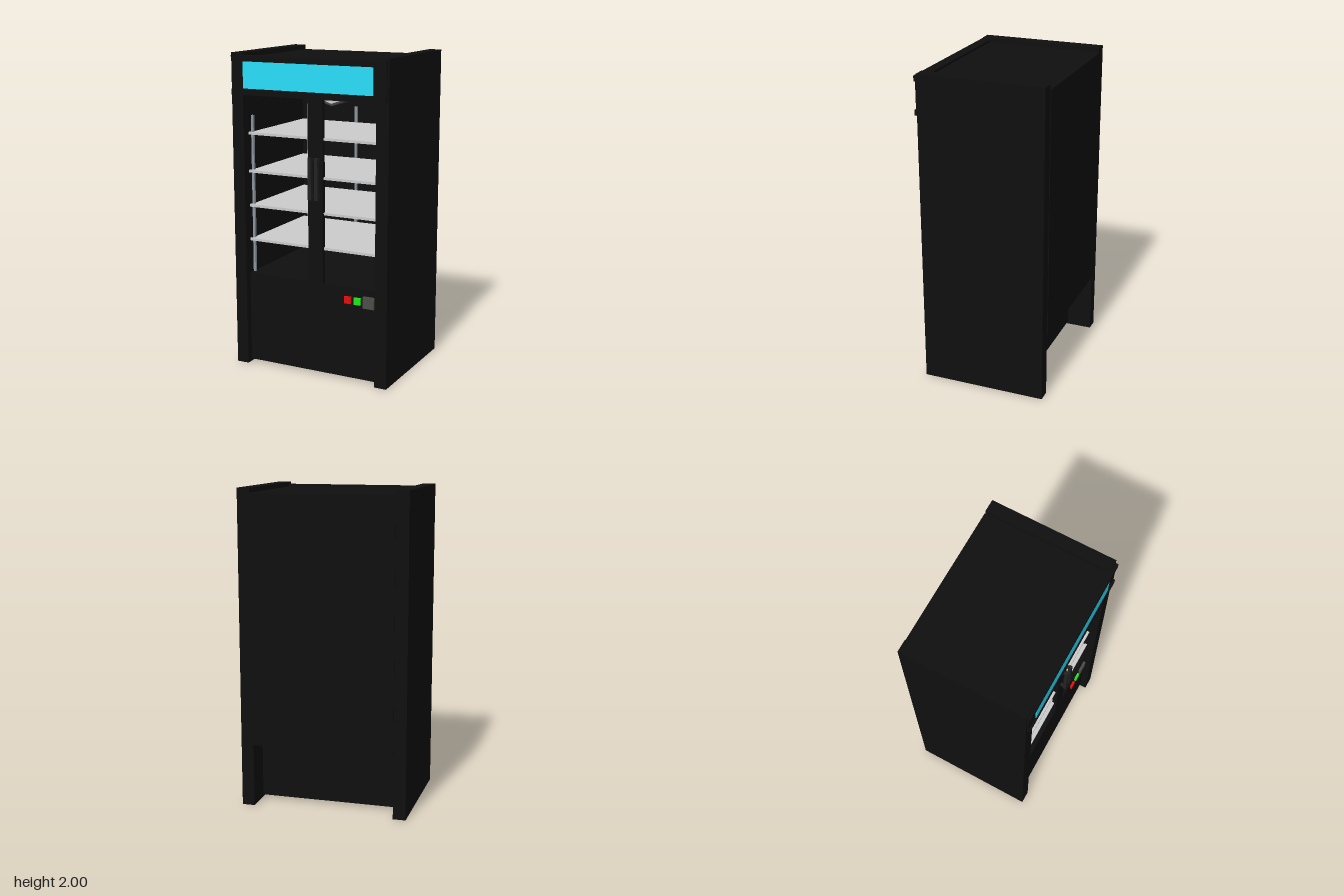
import * as THREE from 'three';

const mat = (color) => new THREE.MeshStandardMaterial({ color });

export function createModel() {
  const model = new THREE.Group();
  const black = mat(0x0f0f0f), grey = mat(0xcccccc), steel = mat(0x8a949c);
  const handleDark = mat(0x222222);

  // Box given by its min and max on each axis
  const box = (name, [x0, x1], [y0, y1], [z0, z1], material) => {
    const mesh = new THREE.Mesh(new THREE.BoxGeometry(x1 - x0, y1 - y0, z1 - z0), material);
    mesh.position.set((x0 + x1) / 2, (y0 + y1) / 2, (z0 + z1) / 2);
    mesh.name = name;
    model.add(mesh);
    return mesh;
  };

  // Cabinet: side walls stand slightly proud of the roof, floor and front
  const inner = [-0.45, 0.45];
  box('rightWall', [-0.53, -0.45], [0, 2], [-0.405, 0.39], black);
  box('leftWall', [0.45, 0.53], [0, 2], [-0.405, 0.39], black);
  box('backPanel', inner, [0.4, 1.97], [-0.41, -0.37], black);
  box('roof', inner, [1.79, 1.97], [-0.37, 0.345], black);

  // Machine compartment, with a recess at the lower back
  box('machineCompartment', inner, [0.015, 0.6], [-0.24, 0.345], black);
  box('recessCeiling', inner, [0.4, 0.6], [-0.37, -0.24], black);

  // Illuminated header between two trim bars
  box('headerBacking', inner, [1.745, 1.985], [0.345, 0.39], black);
  box('headerFrame', [-0.52, 0.52], [1.78, 1.95], [0.385, 0.4], black);
  box('headerPanel', [-0.44, 0.435], [1.785, 1.95], [0.39, 0.405], mat(0x29dffb));
  for (const y of [1.745, 1.95]) box('headerTrim', [-0.52, 0.52], [y, y + 0.035], [0.385, 0.41], black);

  // Centre post and door handles
  box('centrePost', [-0.02, 0.08], [0.6, 1.79], [0.325, 0.355], black);
  for (const x of [0.01, 0.055]) {
    box('handle', [x - 0.011, x + 0.011], [1.13, 1.39], [0.375, 0.395], handleDark);
    for (const y of [1.14, 1.36]) box('handleMount', [x - 0.008, x + 0.008], [y, y + 0.02], [0.35, 0.38], handleDark);
  }

  // Shelves with a front lip
  for (const y of [0.82, 1.04, 1.26, 1.5]) {
    box('shelf', [-0.445, 0.445], [y - 0.005, y + 0.005], [-0.36, 0.325], grey);
    box('shelfLip', [-0.448, 0.448], [y - 0.008, y + 0.008], [0.325, 0.34], grey);
  }

  // Upright shelf rails: two at the front, four along the back
  for (const [x, z] of [[-0.44, 0.3], [0.435, 0.3], [-0.405, -0.362], [-0.045, -0.362], [0.12, -0.362], [0.41, -0.362]]) {
    box('shelfRail', [x - 0.008, x + 0.008], [0.6, 1.61], [z - 0.008, z + 0.008], steel);
  }

  // V-shaped ceiling lamp: shell and bright insert
  const wedge = (name, half, drop, z0, z1, material) => {
    const shape = new THREE.Shape([
      new THREE.Vector2(-half, 0), new THREE.Vector2(0, -drop), new THREE.Vector2(half, 0),
    ]);
    const mesh = new THREE.Mesh(new THREE.ExtrudeGeometry(shape, { depth: z1 - z0, bevelEnabled: false }), material);
    mesh.position.set(0.035, 1.79, z0);
    mesh.name = name;
    model.add(mesh);
  };
  wedge('lampShell', 0.32, 0.115, -0.2, 0.15, mat(0x444444));
  wedge('lampInsert', 0.28, 0.1, -0.19, 0.155, grey);

  // Control buttons
  for (const [name, x, half, color] of [
    ['redButton', 0.25, 0.022, 0xe80c0c],
    ['greenButton', 0.315, 0.022, 0x20e818],
    ['controlDial', 0.393, 0.037, 0x4c4c48],
  ]) box(name, [x - half, x + half], [0.52 - half, 0.52 + half], [0.34, 0.36], mat(color));

  return model;
}
